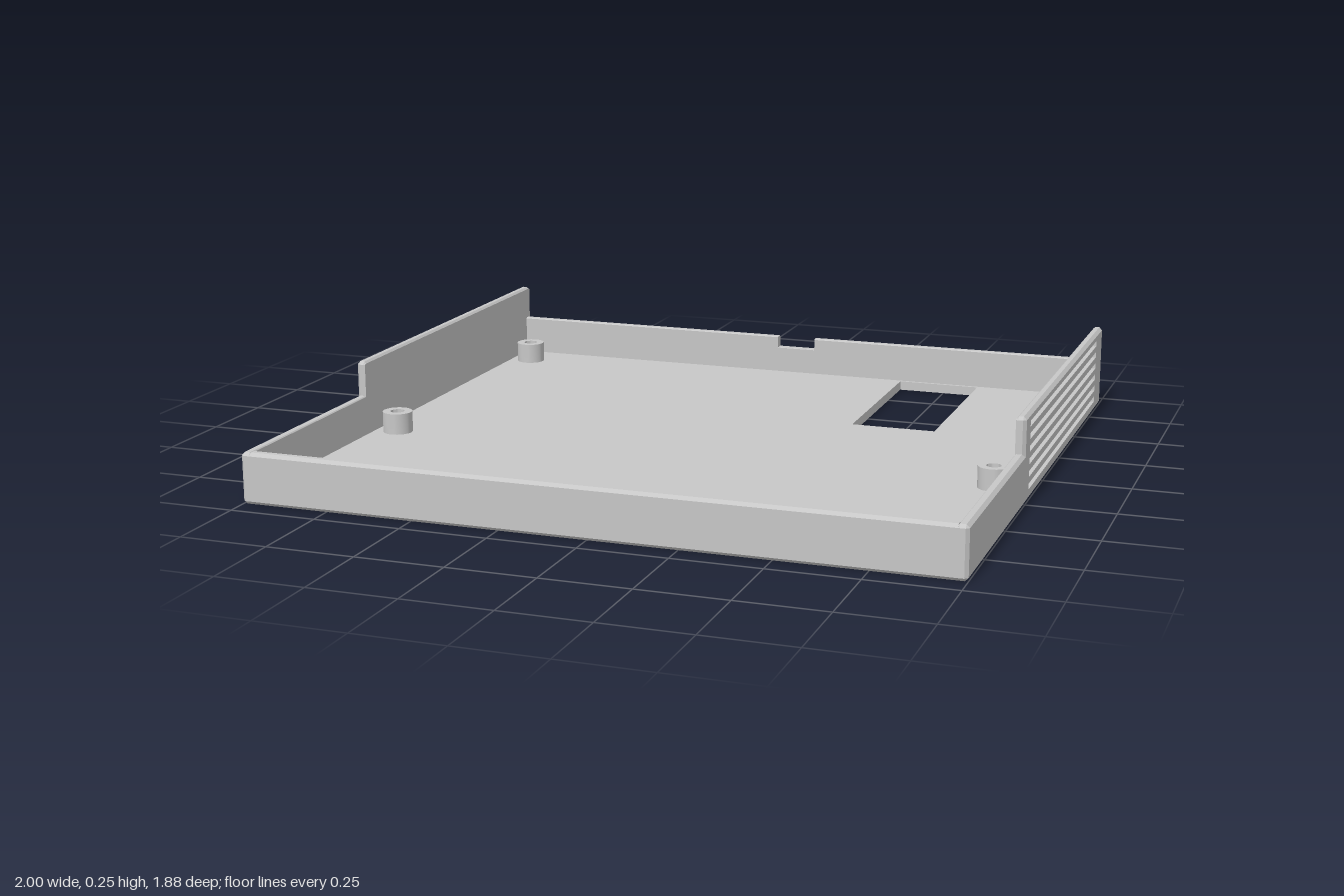
import * as THREE from 'three';
import { toCreasedNormals } from 'three/addons/utils/BufferGeometryUtils.js';

const X = 1, Z = 0.939;          // half width, half depth
const T = 0.028;                 // wall and floor thickness
const C = 0.009;                 // edge chamfer
const LOW = 0.145, TALL = 0.248; // wall heights
const STEP = 0.268;              // where the side walls drop
const GROOVES = [0.039, 0.0745, 0.11, 0.1455, 0.181, 0.2165];

// Straight wall: chamfered profile (u = outward, y = up) run from w0 to w1.
// chamfer: 1 or -1 bevels the cap at that end; top: outer and inner top bevels.
function wallGeometry(outer, height, w0, w1, { chamfer = 0, grooved = false, top = [C, 0.003] } = {}) {
  const pts = [[outer - T, 0], [outer - C, 0], [outer, C]];
  if (grooved) {
    for (const y of GROOVES) {
      const a = y - 0.0085, b = y + 0.0085, d = outer - 0.012;
      pts.push([outer, a], [d, a], [d, b], [outer, b]);
    }
  }
  pts.push([outer, height - top[0]], [outer - top[0], height],
    [outer - T + top[1], height], [outer - T, height - top[1]]);
  const shape = new THREE.Shape(pts.map(([x, y]) => new THREE.Vector2(x, y)));
  const geo = new THREE.ExtrudeGeometry(shape, { depth: w1 - w0, bevelEnabled: false });
  geo.translate(0, 0, w0);
  if (chamfer) {
    const p = geo.attributes.position, end = chamfer > 0 ? w1 : w0;
    for (let i = 0; i < p.count; i++) {
      if (Math.abs(p.getZ(i) - end) > 1e-5) continue;
      p.setX(i, Math.min(p.getX(i), outer - C));
      p.setY(i, THREE.MathUtils.clamp(p.getY(i), C, height - C));
    }
    geo.computeVertexNormals();
  }
  return geo;
}

export function createModel() {
  const model = new THREE.Group();
  model.name = 'enclosureTray';
  const grey = new THREE.MeshStandardMaterial({ color: 0xc7c7c7 });
  grey.name = 'light grey plastic';
  const add = (parent, name, geo) => {
    const mesh = new THREE.Mesh(geo, grey);
    mesh.name = name;
    parent.add(mesh);
    return mesh;
  };

  const postX = 0.903, frontPostZ = 0.843, boreR = 0.038;

  // Floor with a rectangular window and two screw holes
  const rect = (Type, x0, x1, z0, z1) => new Type([[x0, z1], [x1, z1], [x1, z0], [x0, z0]]
    .map(([x, z]) => new THREE.Vector2(x, -z)));
  const floor = rect(THREE.Shape, -X + T, X - T, -Z + T, Z - T);
  floor.holes.push(rect(THREE.Path, 0.357, 0.611, -0.901, -0.32));
  for (const s of [-1, 1]) {
    floor.holes.push(new THREE.Path().absarc(s * postX, -frontPostZ, boreR, 0, Math.PI * 2, true));
  }
  const floorGeo = new THREE.ExtrudeGeometry(floor, { depth: T, bevelEnabled: false, curveSegments: 16 });
  add(model, 'floor', floorGeo.rotateX(-Math.PI / 2));

  // Side walls: tall grooved rear section, low front section
  const tall = { top: [C, 0.006] };
  for (const s of [1, -1]) {
    const side = new THREE.Group();
    side.name = s > 0 ? 'leftWall' : 'rightWall';
    side.scale.x = s;
    add(side, 'rearCorner', wallGeometry(X, TALL, -Z, -Z + C, { ...tall, chamfer: -1 }));
    add(side, 'rearSection', wallGeometry(X, TALL, -Z + C, -0.83, tall));
    add(side, 'groovedSection', wallGeometry(X, TALL, -0.83, 0.205, { ...tall, grooved: true }));
    add(side, 'stepSection', wallGeometry(X, TALL, 0.205, STEP - C, tall));
    add(side, 'stepEdge', wallGeometry(X, TALL, STEP - C, STEP, { ...tall, chamfer: 1 }));
    add(side, 'lowSection', wallGeometry(X, LOW, STEP - C, Z - C));
    add(side, 'frontCorner', wallGeometry(X, LOW, Z - C, Z, { chamfer: 1 }));
    model.add(side);
  }

  // Front wall, and back wall with a shallow square notch in its top edge
  const span = X - T;
  add(model, 'frontWall', wallGeometry(Z, LOW, -span, span).rotateY(-Math.PI / 2));
  add(model, 'backWallRight', wallGeometry(Z, LOW, -span, -0.065).rotateY(Math.PI / 2));
  add(model, 'backWallNotch', wallGeometry(Z, 0.108, -0.065, 0.06, { top: [0.001, 0.001] }).rotateY(Math.PI / 2));
  add(model, 'backWallLeft', wallGeometry(Z, LOW, 0.06, span).rotateY(Math.PI / 2));

  // Screw posts: blind at the middle and back, bored through at the front
  const R = 0.044, r = 0.021, top = 0.09;
  const post = (tail) => toCreasedNormals(new THREE.LatheGeometry(
    [[R, T - 0.002], [R, top], [r, top], ...tail].map(([x, y]) => new THREE.Vector2(x, y)), 32), 0.6);
  const blind = post([[r, T + 0.004], [0, T + 0.004]]);
  const bored = post([[r, 0.035], [boreR, 0.035], [boreR, 0]]);
  for (const s of [-1, 1]) {
    for (const z of [-0.786, 0.204, frontPostZ]) {
      add(model, 'screwPost', z === frontPostZ ? bored : blind).position.set(s * postX, 0, z);
    }
  }
  return model;
}
